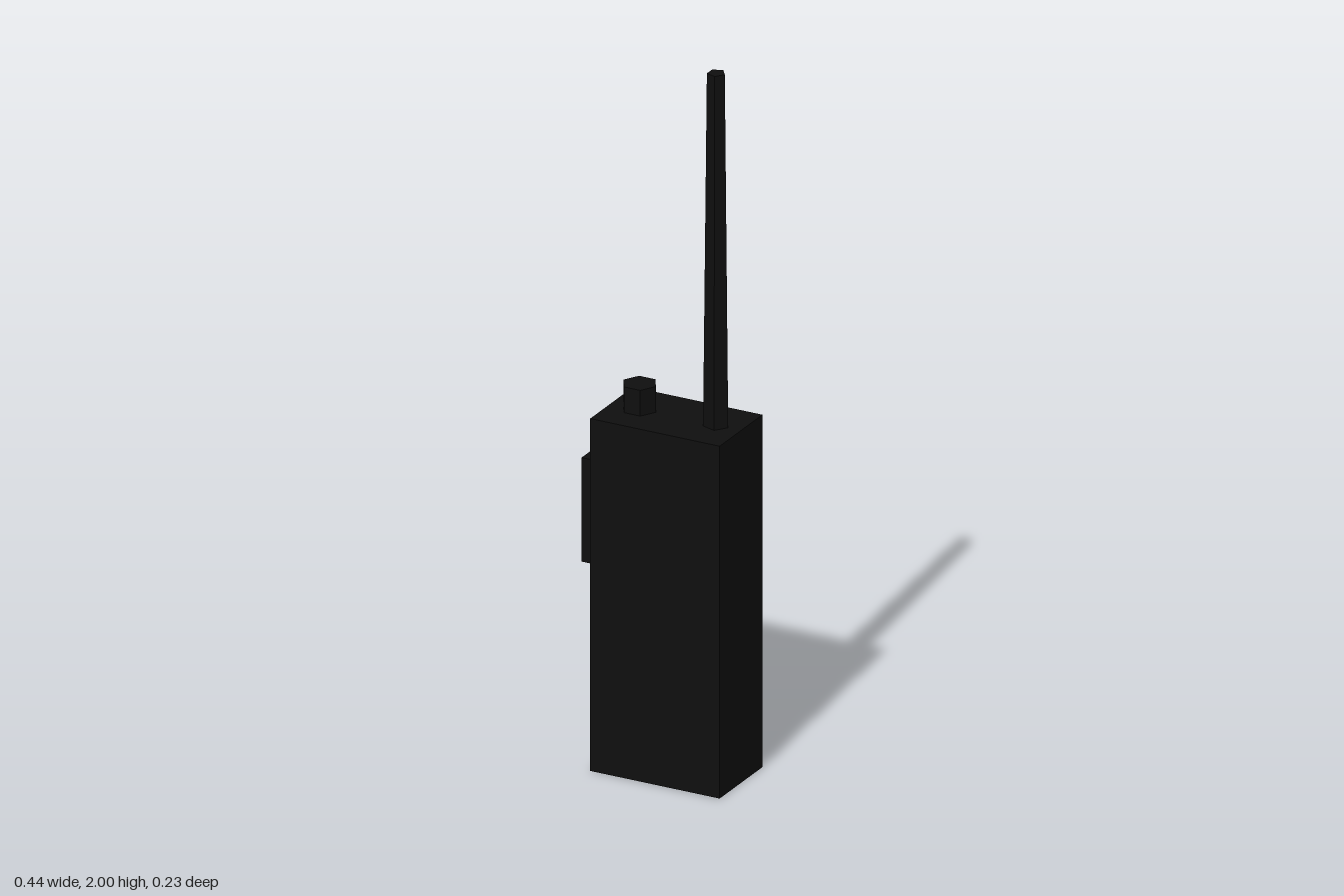
import * as THREE from 'three';

export function createModel() {
  const group = new THREE.Group();
  const black = new THREE.MeshStandardMaterial({ color: 0x0f0f0f, flatShading: true });
  black.name = 'black plastic';

  function add(name, geometry, x, y, z) {
    const mesh = new THREE.Mesh(geometry, black);
    mesh.name = name;
    mesh.position.set(x, y, z);
    group.add(mesh);
  }

  // Upright prism with one corner pointing to +x
  const prism = (top, bottom, height, sides) =>
    new THREE.CylinderGeometry(top, bottom, height, sides).rotateY(Math.PI / 2);

  // Handset body
  add('body', new THREE.BoxGeometry(0.383, 1, 0.235), 0.0285, 0.5, 0);

  // Talk button on the side, sunk slightly into the body
  add('talkButton', new THREE.BoxGeometry(0.069, 0.295, 0.117), -0.1865, 0.707, -0.001);

  // Six-sided knob and tapered five-sided antenna on top
  add('knob', prism(0.048, 0.048, 0.083, 6), -0.08, 1.0315, 0);
  add('antenna', prism(0.025, 0.035, 1, 5), 0.147, 1.5, 0);

  return group;
}
